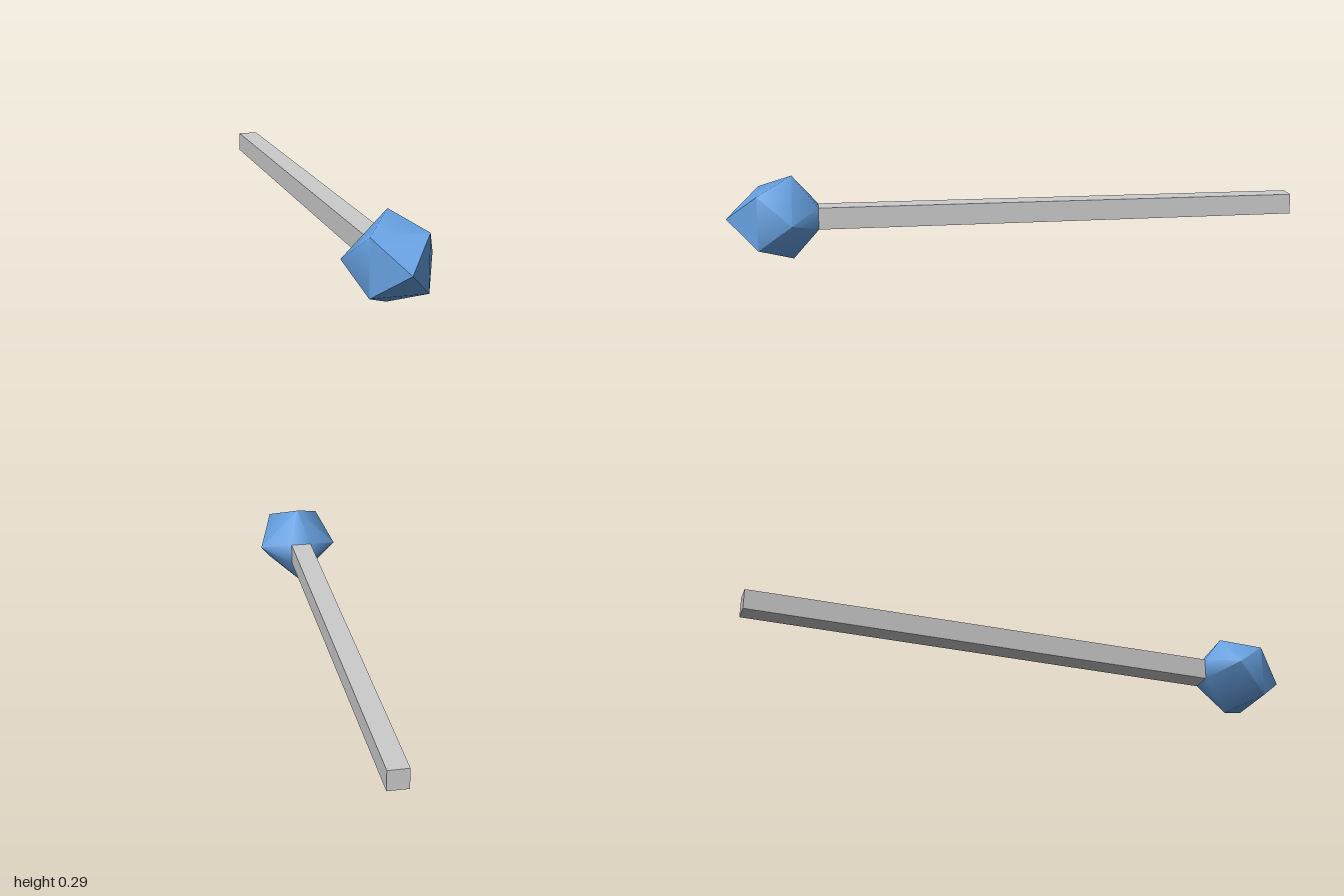
import * as THREE from 'three';
import { toCreasedNormals } from 'three/addons/utils/BufferGeometryUtils.js';

const AXIS_Y = 0.149;
const NECK_Z = 0.684;
const NECK_HALF = 0.038;

// Faceted point: a tip and three four-sided rings, each turned 45 degrees from the last
function headGeometry() {
  const rings = [
    { radius: 0.094 * Math.SQRT2, z: 0.89, start: Math.PI / 4 },
    { radius: 0.147, z: 0.773, start: Math.PI / 2 },
    { radius: NECK_HALF * Math.SQRT2, z: NECK_Z, start: Math.PI / 4 },
  ];
  const positions = [0, 0, 1];
  for (const { radius, z, start } of rings) {
    for (let i = 0; i < 4; i++) {
      const a = start + (i * Math.PI) / 2;
      positions.push(radius * Math.cos(a), radius * Math.sin(a), z);
    }
  }
  const at = (ring, i) => 1 + ring * 4 + (i % 4);
  const index = [];
  for (let i = 0; i < 4; i++) {
    const j = i + 1;
    index.push(0, at(0, i), at(0, j)); // front pyramid
    index.push(at(0, i), at(1, i), at(0, j)); // shoulder
    index.push(at(0, j), at(1, i), at(1, j)); // side
    index.push(at(1, i), at(2, j), at(1, j)); // back
    index.push(at(1, i), at(2, i), at(2, j));
  }
  const geometry = new THREE.BufferGeometry();
  geometry.setAttribute('position', new THREE.Float32BufferAttribute(positions, 3));
  geometry.setIndex(index);
  return toCreasedNormals(geometry, Math.PI / 3);
}

// Long square bar, tapering slightly to the back
function shaftGeometry() {
  const length = NECK_Z + 1;
  const geometry = new THREE.BoxGeometry(2 * NECK_HALF, 2 * NECK_HALF, length);
  const p = geometry.attributes.position;
  for (let i = 0; i < p.count; i++) {
    const taper = p.getZ(i) < 0 ? 0.93 : 1;
    p.setXY(i, p.getX(i) * taper, p.getY(i) * taper);
  }
  geometry.translate(0, 0, NECK_Z - length / 2);
  geometry.computeVertexNormals();
  return geometry;
}

export function createModel() {
  const group = new THREE.Group();
  group.name = 'arrow';
  const addPart = (name, geometry, color) => {
    const mesh = new THREE.Mesh(geometry, new THREE.MeshStandardMaterial({ color }));
    mesh.name = name;
    mesh.position.y = AXIS_Y;
    group.add(mesh);
  };
  addPart('head', headGeometry(), 0x66a0e0);
  addPart('shaft', shaftGeometry(), 0xcccccc);
  return group;
}
